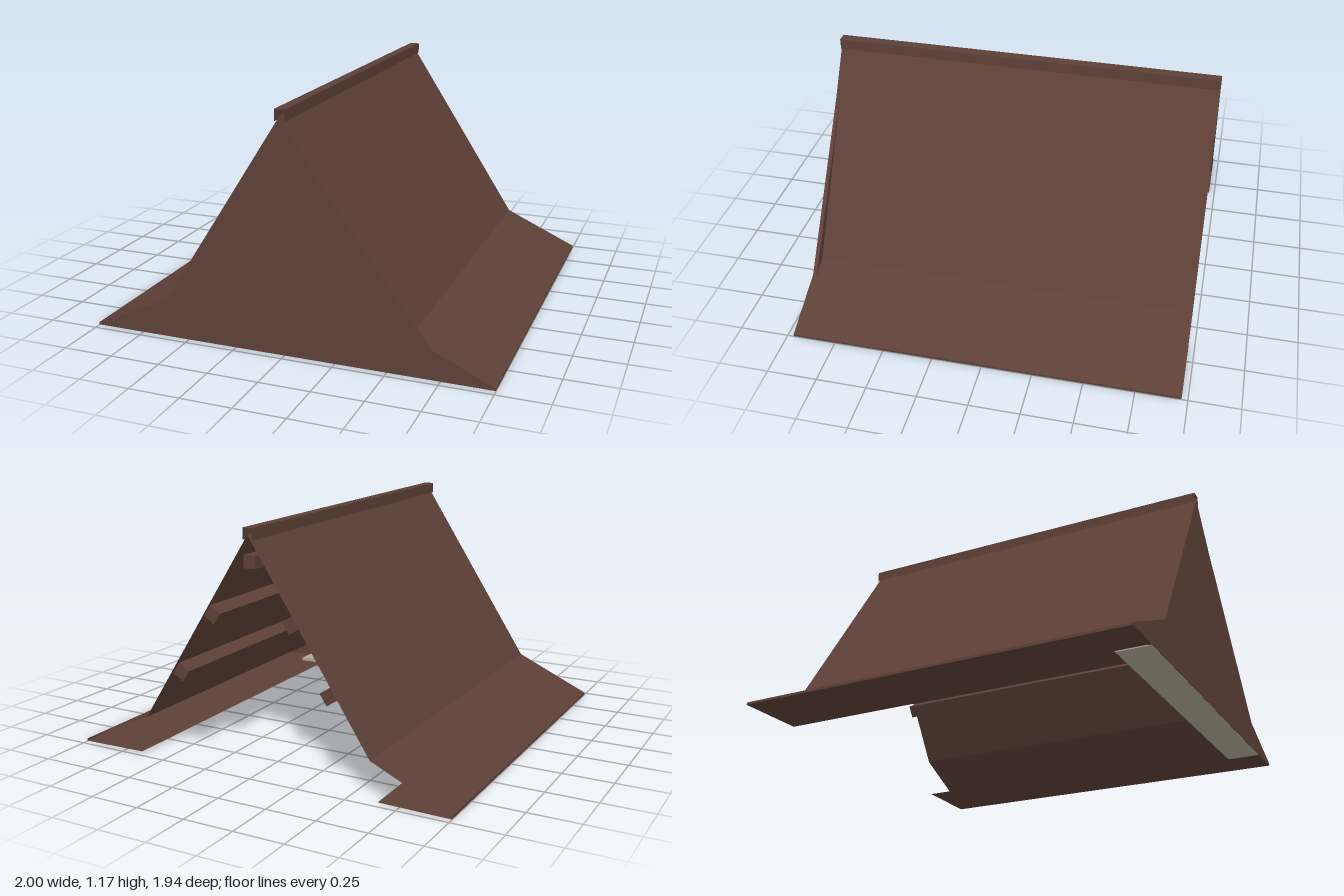
import * as THREE from 'three';

const BACK = -0.97, FRONT = 0.967;

// Sheet made by sweeping an (x, y) profile along z
function sheet(points, z0, z1) {
  const pos = [];
  for (let i = 0; i < points.length - 1; i++) {
    const [ax, ay] = points[i], [bx, by] = points[i + 1];
    pos.push(ax, ay, z0, ax, ay, z1, bx, by, z1);
    pos.push(ax, ay, z0, bx, by, z1, bx, by, z0);
  }
  const g = new THREE.BufferGeometry();
  g.setAttribute('position', new THREE.Float32BufferAttribute(pos, 3));
  g.computeVertexNormals();
  return g;
}

// Solid plate with an (x, y) outline between two depths
function plate(points, z0, z1) {
  const shape = new THREE.Shape(points.map(([x, y]) => new THREE.Vector2(x, y)));
  const g = new THREE.ExtrudeGeometry(shape, { depth: z1 - z0, bevelEnabled: false });
  return g.translate(0, 0, z0);
}

export function createModel() {
  const group = new THREE.Group();
  const wood = new THREE.MeshStandardMaterial({ color: 0x5d4037, side: THREE.DoubleSide });
  wood.name = 'brown wood';
  const plaster = new THREE.MeshStandardMaterial({ color: 0xb0aa98 });
  plaster.name = 'pale plaster';

  const add = (name, geometry, material = wood) => {
    const mesh = new THREE.Mesh(geometry, material);
    mesh.name = name;
    group.add(mesh);
    return mesh;
  };

  for (const s of [1, -1]) {
    const side = s > 0 ? 'left' : 'right';
    // Steep slope with a flared eave, drawn from ridge to eave tip
    const slope = [[0, 1.134], [s * 0.61, 0.19], [s, 0.012], [s, 0]];
    add(side + 'RoofSlope', sheet(s > 0 ? slope.reverse() : slope, BACK, FRONT));
    // Flat soffit below the eave
    const soffit = [[s, 0], [s * 0.65, 0.005]];
    add(side + 'EaveSoffit', sheet(s > 0 ? soffit.reverse() : soffit, BACK, FRONT));

    // Purlins running under the slope
    for (const [x, y] of [[0.21, 0.745], [0.4, 0.445]]) {
      const purlin = add(side + 'Purlin', new THREE.BoxGeometry(0.065, 0.065, 1.9));
      purlin.position.set(s * x, y, -0.01);
      purlin.rotation.z = -s * Math.atan2(0.944, 0.61);
    }
  }

  // Ridge cap, open at its ends, and the ridge beam below
  add('ridgeCap', sheet(
    [[-0.025, 1.11], [-0.025, 1.165], [0.025, 1.165], [0.025, 1.11]].reverse(), BACK, FRONT));
  const beam = add('ridgeBeam', new THREE.BoxGeometry(0.06, 0.06, 1.9));
  beam.position.set(0, 1.01, -0.01);

  // Front gable boarding, straight across the left eave bend
  add('gableBoarding', plate(
    [[0, 1.134], [-0.61, 0.19], [-1, 0.012], [-1, 0], [1, 0], [1, 0.012], [0.7, 0.149], [0.15, 0.902]],
    0.947, FRONT));

  // Plastered wall behind the boarding
  add('gableWall', plate(
    [[0, 0.985], [-0.61, 0.04], [-0.79, 0.02], [-0.79, -0.002], [0.79, -0.002], [0.79, 0.02], [0.61, 0.04]]
      .map(([x, y]) => [x, Math.max(y, 0)]),
    0.8, 0.947), plaster);
  // Pale underside of the wall, carried out to the front
  const foot = add('wallFoot', new THREE.BoxGeometry(1.58, 0.008, 0.16), plaster);
  foot.position.set(0, 0.002, 0.884);

  return group;
}
